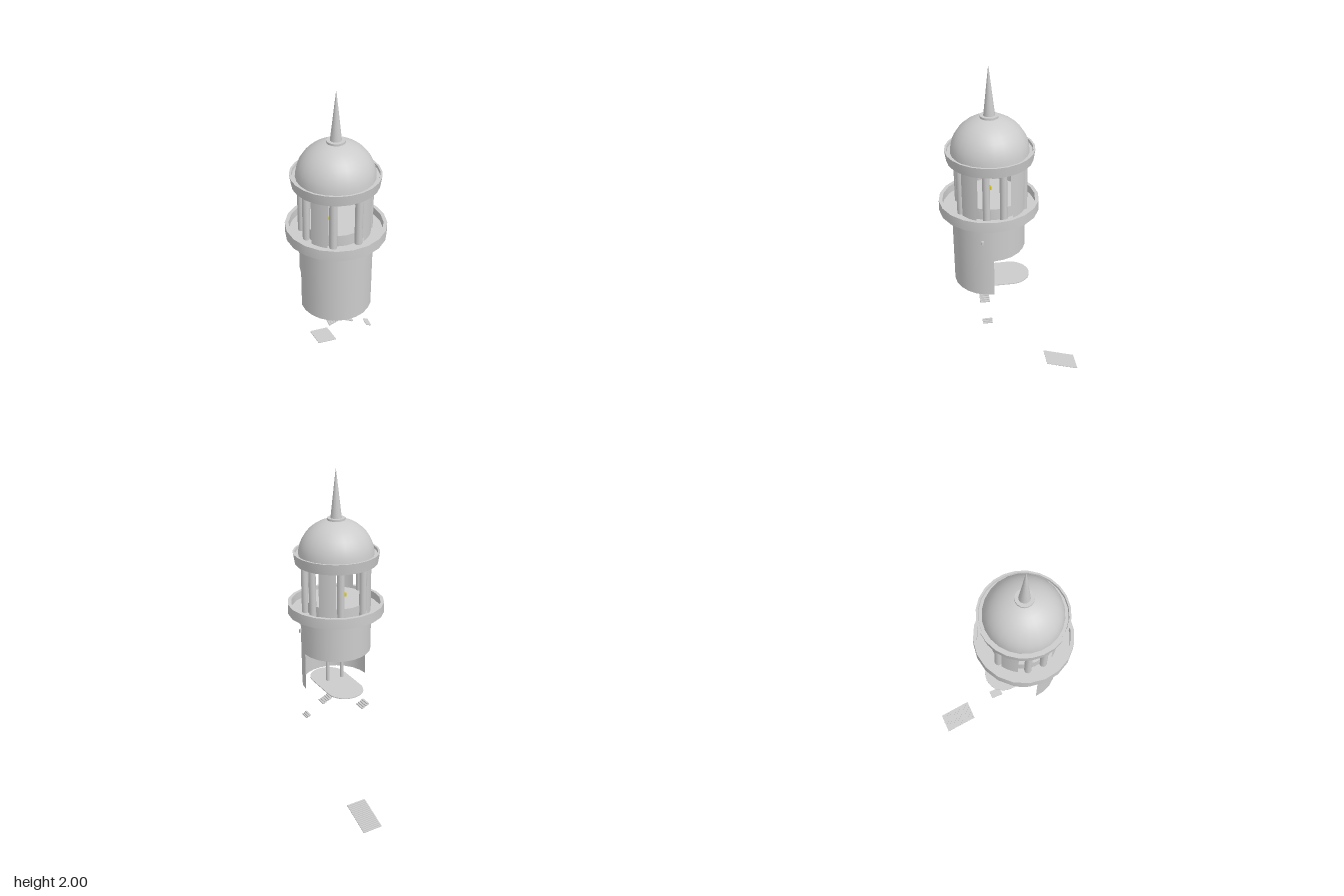
import * as THREE from 'three';
import { toCreasedNormals } from 'three/addons/utils/BufferGeometryUtils.js';

const grey = new THREE.MeshStandardMaterial({ color: 0xcccccc, side: THREE.DoubleSide });
const yellow = new THREE.MeshStandardMaterial({ color: 0xd8c820 });
const ZB = 0.13;  // axis of the tower shaft
const ZL = 0.117; // axis of the lantern

export function createModel() {
  const model = new THREE.Group();
  model.name = 'cupolaTower';

  function add(name, geometry, x = 0, y = 0, z = 0, material = grey) {
    const mesh = new THREE.Mesh(geometry, material);
    mesh.name = name;
    mesh.position.set(x, y, z);
    model.add(mesh);
    return mesh;
  }
  function lathe(name, profile, z, sides) {
    const points = profile.map(([r, y]) => new THREE.Vector2(r, y));
    return add(name, toCreasedNormals(new THREE.LatheGeometry(points, sides), 0.6), 0, 0, z);
  }
  // Open curved wall between two heights, centred on an angle from the front
  function wall(name, r, y0, y1, z, angle, spread, segments) {
    const g = new THREE.CylinderGeometry(r, r, y1 - y0, segments, 1, true, angle - spread / 2, spread);
    return add(name, g, 0, (y0 + y1) / 2, z);
  }
  function post(name, r, x, z, y0, y1) {
    return add(name, new THREE.CylinderGeometry(r, r, y1 - y0, 10), x, (y0 + y1) / 2, z);
  }

  // Shaft: deep front half, shorter back half, floor inside
  wall('frontWall', 0.204, 0.725, 1.19, ZB, 0, Math.PI, 12);
  wall('backWall', 0.204, 0.955, 1.19, ZB, Math.PI, Math.PI, 12);
  add('upperFloor', new THREE.CylinderGeometry(0.2, 0.2, 0.005, 20), 0, 1.05, ZB);
  add('wallPeg', new THREE.BoxGeometry(0.02, 0.02, 0.012), 0.197, 1.08, 0.19);

  // Gallery with a raised rim, and the lantern deck
  lathe('gallery', [[0, 1.19], [0.277, 1.19], [0.277, 1.25], [0.257, 1.25], [0.257, 1.205], [0, 1.205]], 0.127, 20);
  lathe('lanternDeck', [[0.175, 1.2], [0.175, 1.27], [0, 1.27]], ZL, 20);
  add('lamp', new THREE.BoxGeometry(0.02, 0.02, 0.02), -0.05, 1.28, ZL, yellow);

  // Lantern: four curved piers on the diagonals, slim paired columns between
  for (let i = 0; i < 4; i++) {
    wall('lanternPier', 0.195, 1.2, 1.5, ZL, Math.PI / 4 + i * Math.PI / 2, 0.5, 6);
    wall('lanternPierInside', 0.175, 1.2, 1.5, ZL, Math.PI / 4 + i * Math.PI / 2, 0.5, 6);
  }
  for (const a of [-1, 1]) for (const b of [-1, 1]) {
    post('lanternColumn', 0.021, a * 0.07, ZL + b * 0.172, 1.2, 1.5);
    post('lanternColumn', 0.02, a * 0.178, ZL + b * 0.046, 1.2, 1.5);
  }

  // Cornice and dome
  lathe('cornice', [[0, 1.5], [0.17, 1.5], [0.17, 1.49], [0.234, 1.49], [0.243, 1.55], [0.232, 1.55],
    [0.23, 1.535], [0, 1.535]], ZL, 24);
  const dome = [];
  for (let i = 0; i <= 10; i++) {
    const t = i / 10 * Math.PI / 2;
    dome.push([0.213 * Math.cos(t), 1.53 + 0.203 * Math.sin(t)]);
  }
  lathe('dome', dome, ZL, 24);

  // Spire on its collar
  lathe('spireCollar', [[0, 1.725], [0.05, 1.725], [0.05, 1.738], [0, 1.738]], ZL, 16);
  lathe('spire', [[0.031, 1.738], [0.001, 2]], ZL, 12);

  // Lower landing: long plate with rounded ends
  const plate = new THREE.Shape();
  plate.absarc(0, 0.1, 0.11, 0, Math.PI);
  plate.absarc(0, -0.1, 0.11, Math.PI, 2 * Math.PI);
  const plateGeometry = new THREE.ExtrudeGeometry(plate, { depth: 0.005, bevelEnabled: false, curveSegments: 8 });
  add('lowerLanding', plateGeometry.rotateX(-Math.PI / 2), 0.01, 0.723, 0.11);
  for (const x of [-0.055, 0.042]) post('landingPost', 0.01, x, 0.158, 0.725, 1.05);

  // Stair flights of thin treads running along x or z
  function stairs(name, axis, from, to, yFrom, yTo, side0, side1, steps) {
    const flight = new THREE.Group();
    flight.name = name;
    const run = Math.abs(to - from) / steps, rise = Math.abs(yTo - yFrom) / steps;
    const width = side1 - side0, mid = (side0 + side1) / 2;
    const size = axis === 'x' ? [run, rise, width] : [width, rise, run];
    const tread = new THREE.BoxGeometry(...size);
    for (let i = 0; i < steps; i++) {
      const t = (i + 0.5) / steps, m = new THREE.Mesh(tread, grey);
      const p = from + (to - from) * t, y = yFrom + (yTo - yFrom) * t;
      m.name = 'tread';
      m.position.set(axis === 'x' ? p : mid, y, axis === 'x' ? mid : p);
      flight.add(m);
    }
    model.add(flight);
  }
  stairs('upperFlight', 'x', 0.04, -0.09, 0.725, 0.665, 0.235, 0.285, 10);
  stairs('turnFlight', 'x', -0.09, -0.04, 0.66, 0.635, -0.105, -0.04, 4);
  stairs('middleFlight', 'x', -0.04, 0.085, 0.64, 0.58, 0.143, 0.2, 10);
  stairs('shortFlight', 'x', 0.17, 0.2, 0.53, 0.515, 0.143, 0.2, 3);
  stairs('groundFlight', 'z', -0.21, -0.408, 0.068, 0, 0, 0.123, 17);

  return model;
}
